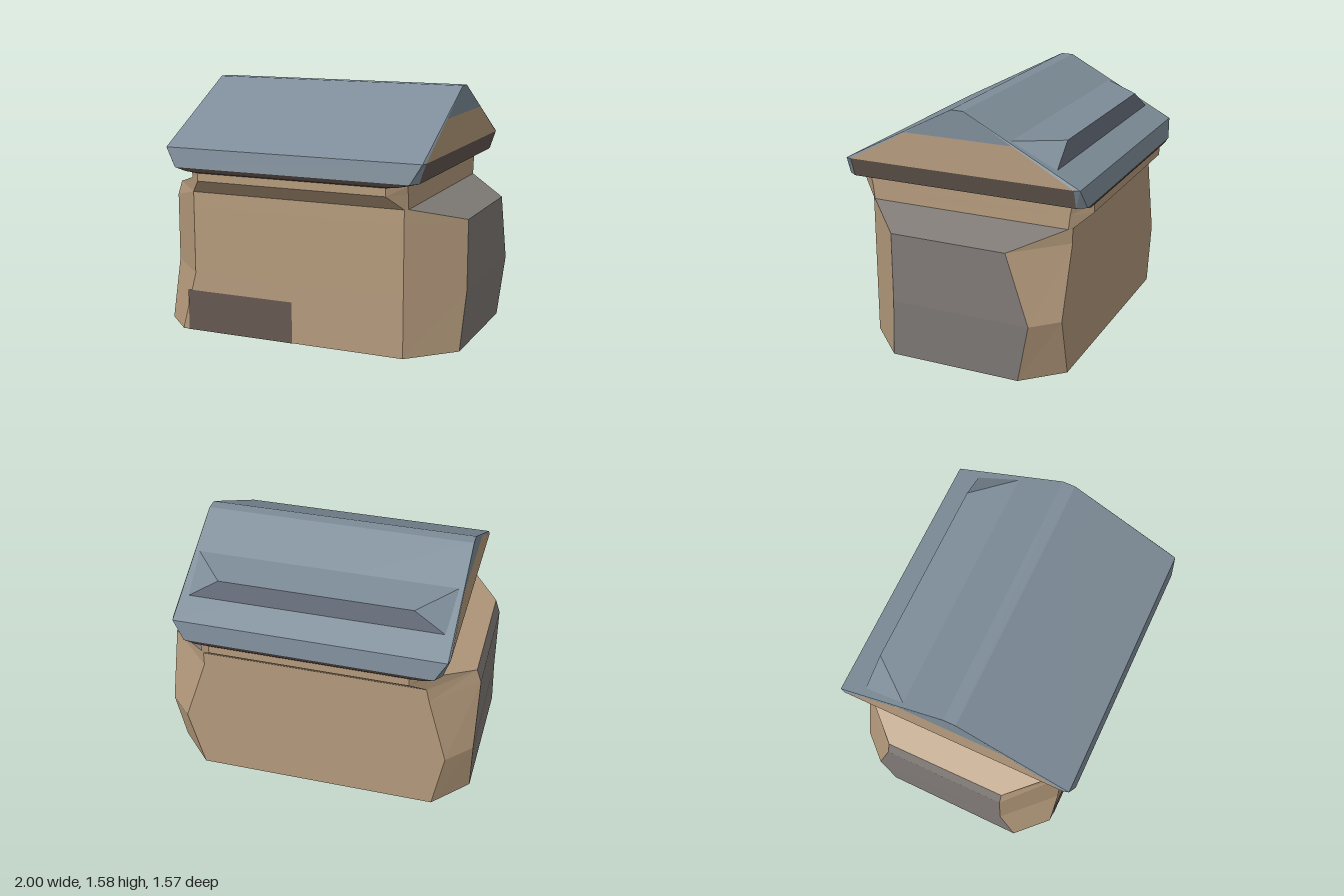
import * as THREE from 'three';

const TAN = 0xb49a7c, BLUE = 0x7d8c98, GREY = 0x7f7a76, BROWN = 0x665850, DARK = 0x453c37, SLATE = 0x6b7280;

// Mesh from a list of convex polygons (corners anticlockwise seen from outside)
function panels(name, color, polys) {
  const pos = [];
  for (const p of polys)
    for (let i = 1; i < p.length - 1; i++) pos.push(...p[0], ...p[i], ...p[i + 1]);
  const geo = new THREE.BufferGeometry();
  geo.setAttribute('position', new THREE.Float32BufferAttribute(pos, 3));
  geo.computeVertexNormals();
  const mat = new THREE.MeshStandardMaterial({ color, flatShading: true, side: THREE.DoubleSide });
  const mesh = new THREE.Mesh(geo, mat);
  mesh.name = name;
  return mesh;
}

// Ring of eight [x, y, z] corners at one height
const ring = (y, pts) => pts.map(([x, z]) => [x, y, z]);
// Symmetric chamfered rectangle: side corner (sx, sz), front corner (fx, fz)
const octagon = (y, sx, sz, fx, fz) => ring(y, [
  [sx, sz], [fx, fz], [-fx, fz], [-sx, sz], [-sx, -sz], [-fx, -fz], [fx, -fz], [sx, -sz]]);

// Quads between two rings, for the chosen sides
function band(lo, hi, sides = [0, 1, 2, 3, 4, 5, 6, 7]) {
  return sides.map(i => {
    const j = (i + 1) % 8;
    return [lo[j], lo[i], hi[i], hi[j]];
  });
}

export function createModel() {
  const model = new THREE.Group();

  // Hut body: open shell with uneven chamfered corners
  const body = new THREE.Group();
  body.name = 'body';
  const rings = [
    ring(0, [[0.97, 0.405], [0.70, 0.67], [-0.81, 0.67], [-1, 0.48], [-0.99, -0.44], [-0.78, -0.67], [0.75, -0.67], [0.97, -0.44]]),
    ring(0.38, [[1, 0.375], [0.70, 0.67], [-0.71, 0.67], [-1, 0.38], [-1, -0.51], [-0.85, -0.67], [0.85, -0.67], [1, -0.52]]),
    ring(0.82, [[1, 0.375], [0.70, 0.67], [-0.71, 0.67], [-1, 0.38], [-1, -0.40], [-0.73, -0.67], [0.70, -0.67], [1, -0.375]]),
    ring(0.91, [[0.72, 0.65], [0.70, 0.67], [-0.71, 0.67], [-0.97, 0.38], [-0.97, -0.40], [-0.71, -0.67], [0.70, -0.67], [0.72, -0.65]]),
    octagon(1.0, 0.72, 0.66, 0.62, 0.77),
    octagon(1.05, 0.72, 0.67, 0.62, 0.77),
  ];
  const wall = [], side = [];
  for (let k = 0; k < rings.length - 1; k++) {
    const lower = k < 3;
    wall.push(...band(rings[k], rings[k + 1], lower ? [0, 1, 2, 4, 5, 6] : undefined));
    if (lower) side.push(...band(rings[k], rings[k + 1], [3, 7]));
  }
  body.add(panels('walls', TAN, wall), panels('sideWalls', GREY, side));
  model.add(body);

  // Low door panel on the front
  const door = new THREE.Mesh(new THREE.PlaneGeometry(0.735, 0.265),
    new THREE.MeshStandardMaterial({ color: BROWN, side: THREE.DoubleSide }));
  door.name = 'door';
  door.position.set(-0.3975, 0.1325, 0.674);
  model.add(door);

  // Roof: underside, eaves, slopes and gables
  const roof = new THREE.Group();
  roof.name = 'roof';
  const under = octagon(1.05, 0.72, 0.67, 0.62, 0.77);
  const soffit = octagon(1.06, 0.74, 0.65, 0.70, 0.78);
  const eaveLow = octagon(1.08, 0.81, 0.73, 0.77, 0.785);
  const eaveTop = octagon(1.2, 0.85, 0.73, 0.84, 0.765);
  roof.add(panels('underside', DARK, [under, ...band(under, soffit), ...band(soffit, eaveLow)]));
  roof.add(panels('gableBase', BROWN, band(eaveLow, eaveTop, [3, 7])));

  const R = 0.845, H = 1.58, W = 0.04; // ridge half length, height, half width
  const cover = band(eaveLow, eaveTop, [0, 1, 2, 4, 5, 6]);
  const gable = [];
  cover.push([[-R, H, W], [R, H, W], [R, H, -W], [-R, H, -W]]);
  for (const s of [1, -1]) {
    // slope, then per end: corner sliver, gable and blue gable top (s turns it half round)
    const t = ([x, y, z]) => [x * s, y, z * s];
    cover.push([[-0.84, 1.2, 0.765], [0.84, 1.2, 0.765], [R, H, W], [-R, H, W]].map(t));
    for (const m of [1, -1])
      cover.push([[0.84, 1.2, 0.765 * m], [0.85, 1.2, 0.73 * m], [R, H, W * m]].map(t));
    gable.push([[0.85, 1.2, 0.73], [0.85, 1.2, -0.73], [0.847, 1.41, -0.35], [0.847, 1.41, 0.35]].map(t));
    cover.push([[0.847, 1.41, 0.35], [0.847, 1.41, -0.35], [R, H, -W], [R, H, W]].map(t));
  }
  roof.add(panels('roofCover', BLUE, cover), panels('gables', TAN, gable));

  // Raised wedge on the rear slope
  const a = s => [0.82 * s, 1.43, -0.32], b = s => [0.6 * s, 1.41, -0.59], c = s => [0.79 * s, 1.285, -0.605];
  roof.add(panels('rearRaisedRoof', BLUE, [
    [a(-1), a(1), b(1), b(-1)], [a(1), c(1), b(1)], [a(-1), b(-1), c(-1)]]));
  roof.add(panels('rearRaisedEnd', SLATE, [[c(1), c(-1), b(-1), b(1)]]));
  model.add(roof);

  return model;
}
